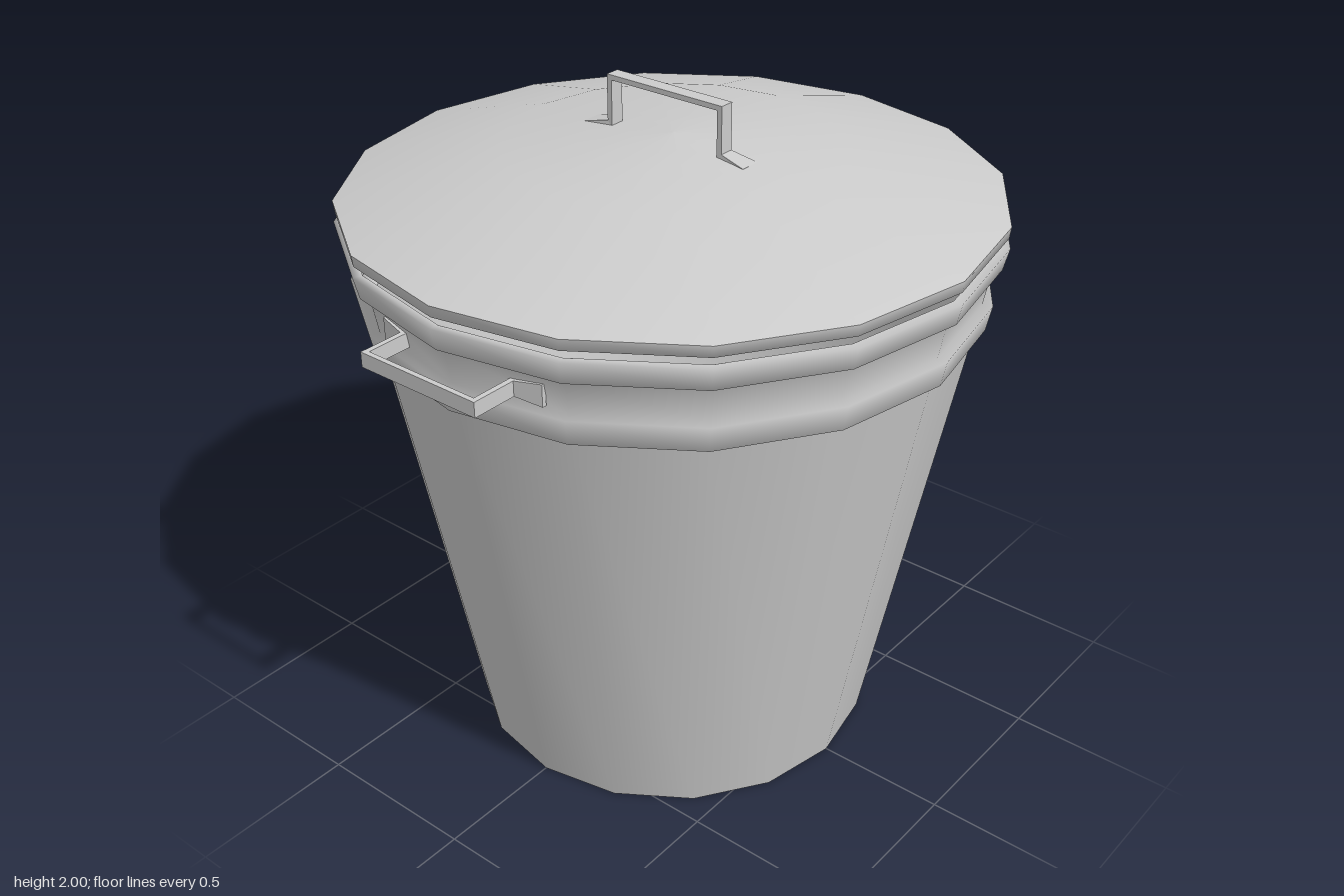
import * as THREE from 'three';

const SIDES = 16;
const material = new THREE.MeshStandardMaterial({ color: 0xcccccc, side: THREE.DoubleSide });

function addMesh(parent, name, geometry) {
  const mesh = new THREE.Mesh(geometry, material);
  mesh.name = name;
  parent.add(mesh);
  return mesh;
}

// Turned part from [radius, height] pairs, listed bottom to top
function turned(profile) {
  return new THREE.LatheGeometry(profile.map(([r, y]) => new THREE.Vector2(r, y)), SIDES);
}

// Flat-strip bracket: spans z, rises along y, with feet that flare outwards
function handleGeometry() {
  const half = [[0.28, -0.012], [0.2, 0.005], [0.2, 0.14]];
  const inner = [[0.184, 0.125], [0.184, -0.012], [0.28, -0.025]];
  const mirror = (pts) => pts.map(([x, y]) => [-x, y]).reverse();
  const outline = [...half, ...mirror(half), ...mirror(inner), ...inner];
  const shape = new THREE.Shape(outline.map(([x, y]) => new THREE.Vector2(x, y)));
  const geometry = new THREE.ExtrudeGeometry(shape, { depth: 0.044, bevelEnabled: false });
  geometry.translate(0, 0, -0.022);
  const p = geometry.attributes.position;
  for (let i = 0; i < p.count; i++) {
    const flare = Math.max(0, Math.abs(p.getX(i)) - 0.2) / 0.08;
    p.setZ(i, p.getZ(i) * (1 + 0.45 * flare));
  }
  geometry.rotateY(Math.PI / 2);
  geometry.computeVertexNormals();
  return geometry;
}

export function createModel() {
  const model = new THREE.Group();
  model.name = 'bin';

  // Tapered body, closed at the bottom and open at the top
  const body = new THREE.Group();
  body.name = 'body';
  model.add(body);
  addMesh(body, 'wall', turned([[0.61, 0], [0.868, 1.39]]));
  addMesh(body, 'bottom', new THREE.CircleGeometry(0.61, SIDES).rotateX(Math.PI / 2));

  // Raised band, neck and top rim
  addMesh(body, 'rimBands', turned([
    [0.868, 1.39], [0.895, 1.39], [0.91, 1.465], [0.88, 1.465],
    [0.9, 1.578], [0.925, 1.578], [0.94, 1.642], [0.912, 1.642],
  ]));

  // Shallow domed lid, floating just above the rim
  const lid = new THREE.Group();
  lid.name = 'lid';
  model.add(lid);
  addMesh(lid, 'lidDome', turned([[0.938, 1.705], [0.48, 1.835], [0, 1.866]]));
  addMesh(lid, 'lidEdge', turned([[0.915, 1.672], [0.934, 1.672], [0.938, 1.705]]));

  // Handles on the lid and on both sides
  const bracket = handleGeometry();
  const lidHandle = addMesh(lid, 'lidHandle', bracket);
  lidHandle.position.set(-0.02, 1.86, 0);
  for (const side of [1, -1]) {
    const handle = addMesh(body, side > 0 ? 'leftHandle' : 'rightHandle', bracket);
    handle.rotation.z = -side * Math.PI / 2;
    handle.position.set(side * 0.857, 1.512, 0);
  }
  return model;
}
